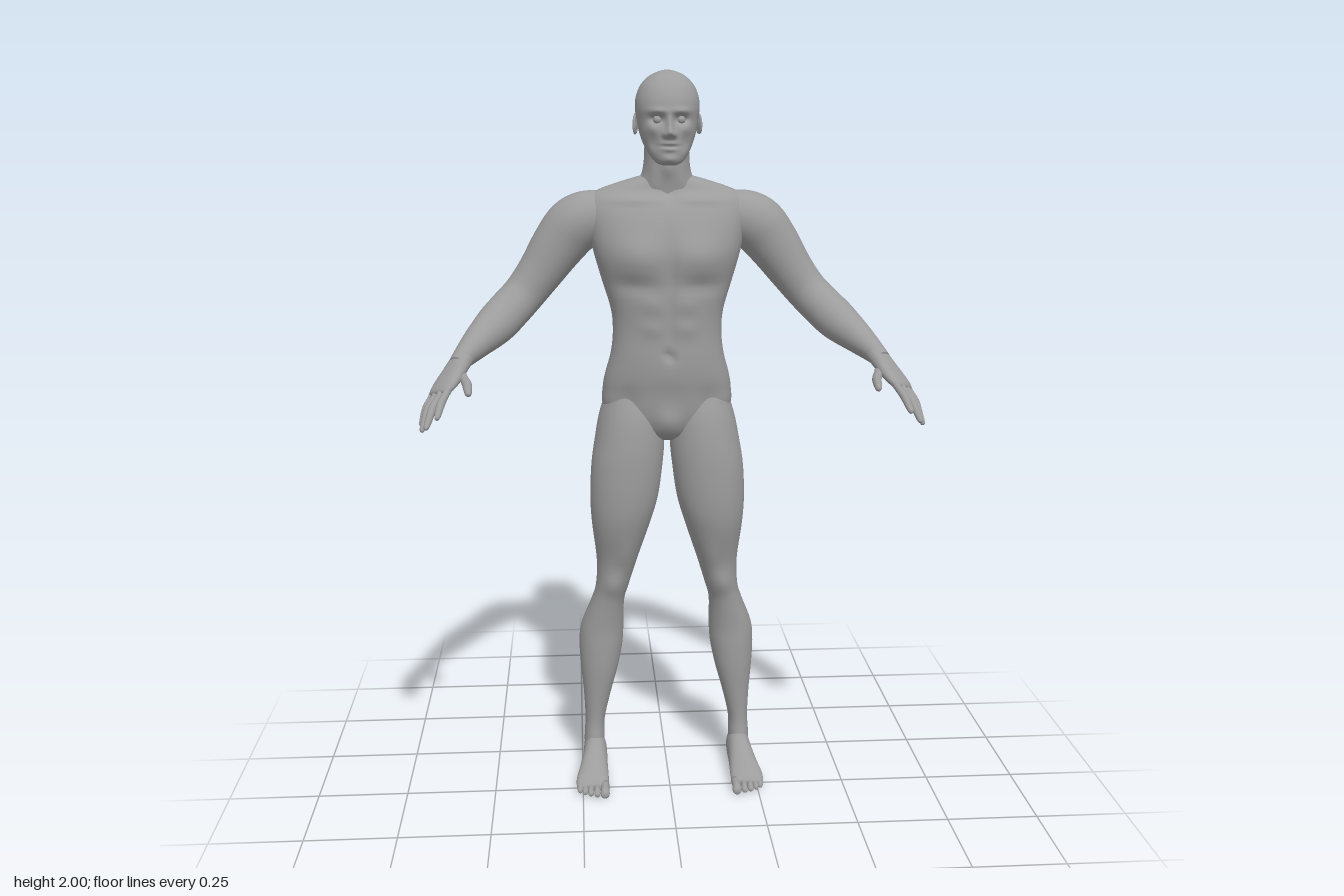
import * as THREE from 'three';

const skin = new THREE.MeshStandardMaterial({ color: 0x9c9c9c });
skin.name = 'grey skin';

const X = new THREE.Vector3(1, 0, 0), Y = new THREE.Vector3(0, 1, 0), Z = new THREE.Vector3(0, 0, 1);

// Catmull-Rom interpolation of whole rows of numbers
function rowAt(rows, u) {
  const i = Math.min(Math.floor(u), rows.length - 2), t = u - i;
  const r = k => rows[Math.max(0, Math.min(rows.length - 1, k))];
  const [p, q, s, w] = [r(i - 1), r(i), r(i + 1), r(i + 2)];
  return q.map((_, k) => q[k] + 0.5 * t * (s[k] - p[k]
    + t * (2 * p[k] - 5 * q[k] + 4 * s[k] - w[k] + t * (3 * (q[k] - s[k]) + w[k] - p[k]))));
}

// Closed smooth skin over rows [x, y, z, radius along hint, other radius]; a fixed axis keeps the rings parallel
function loft(rows, { hint = X, axis = null, segs = 32, steps = 5, square = 2, sculpt = null } = {}) {
  const pos = [], idx = [], n = (rows.length - 1) * steps;
  const centre = u => new THREE.Vector3(...rowAt(rows, u).slice(0, 3));
  const put = v => { if (sculpt) sculpt(v); pos.push(v.x, v.y, v.z); };
  const pw = c => Math.sign(c) * Math.abs(c) ** (2 / square);
  for (let i = 0; i <= n; i++) {
    const u = i / steps, [, , , a, b] = rowAt(rows, u), c = centre(u);
    const T = axis ? axis.clone()
      : centre(Math.min(u + 0.05, rows.length - 1)).sub(centre(Math.max(u - 0.05, 0))).normalize();
    const U = hint.clone().addScaledVector(T, -hint.dot(T)).normalize();
    const V = T.clone().cross(U);
    for (let j = 0; j < segs; j++) {
      const t = j / segs * Math.PI * 2;
      put(c.clone().addScaledVector(U, pw(Math.cos(t)) * a).addScaledVector(V, pw(Math.sin(t)) * b));
    }
  }
  put(centre(0));
  put(centre(rows.length - 1));
  const first = (n + 1) * segs, last = first + 1;
  for (let j = 0; j < segs; j++) {
    const k = (j + 1) % segs;
    for (let i = 0; i < n; i++) {
      const a = i * segs + j, b = i * segs + k;
      idx.push(a, b, a + segs, b, b + segs, a + segs);
    }
    idx.push(first, k, j, last, n * segs + j, n * segs + k);
  }
  const g = new THREE.BufferGeometry();
  g.setAttribute('position', new THREE.Float32BufferAttribute(pos, 3));
  g.setIndex(idx);
  g.computeVertexNormals();
  return g;
}

// Horizontal rings [y, x inner, x outer, z front, z back]
const flat = rows => rows.map(([y, x0, x1, f, b]) => [(x0 + x1) / 2, y, (f + b) / 2, (x1 - x0) / 2, (f - b) / 2]);
const even = rows => flat(rows.map(([y, w, f, b]) => [y, -w, w, f, b]));

// Soft push in z around (+-x, y); back side when side is -1
function sculptor(bumps, midZ) {
  return v => {
    const side = v.z > midZ ? 1 : -1, ax = Math.abs(v.x);
    let dz = 0;
    for (const [s, x, y, rx, ry, d] of bumps)
      if (s === side) dz += d * Math.exp(-(((ax - x) / rx) ** 2) - ((v.y - y) / ry) ** 2);
    v.z += dz * Math.min(1, Math.abs(v.z - midZ) / 0.05);
  };
}

function mirrored(g) {
  const m = g.clone().scale(-1, 1, 1), a = m.index.array;
  for (let i = 0; i < a.length; i += 3) [a[i], a[i + 1]] = [a[i + 1], a[i]];
  m.computeVertexNormals();
  return m;
}

export function createModel() {
  const model = new THREE.Group();
  model.name = 'standing man';
  const add = (name, g) => {
    const m = new THREE.Mesh(g, skin);
    m.name = name;
    model.add(m);
  };
  const pair = (name, g) => { add('left ' + name, g); add('right ' + name, mirrored(g)); };

  // Torso: chest, belly, back and pelvis
  add('torso', loft(even([
    [1.005, 0.03, -0.09, -0.16], [1.025, 0.08, -0.06, -0.21], [1.06, 0.14, -0.045, -0.238],
    [1.1, 0.178, -0.036, -0.248], [1.15, 0.178, -0.03, -0.242], [1.19, 0.171, -0.025, -0.23],
    [1.25, 0.155, -0.02, -0.217], [1.31, 0.149, -0.02, -0.216], [1.37, 0.154, -0.017, -0.226],
    [1.45, 0.178, -0.014, -0.243], [1.52, 0.198, -0.01, -0.252], [1.58, 0.212, -0.022, -0.255],
    [1.63, 0.22, -0.042, -0.247], [1.665, 0.215, -0.065, -0.234], [1.69, 0.18, -0.085, -0.218],
    [1.715, 0.105, -0.095, -0.205], [1.73, 0.05, -0.11, -0.185]]), {
    axis: Y, segs: 96, square: 2.35,
    sculpt: sculptor([
      [1, 0.085, 1.515, 0.065, 0.055, 0.014], [1, 0.09, 1.44, 0.06, 0.018, -0.009],   // chest muscles
      [1, 0, 1.5, 0.012, 0.1, -0.009], [1, 0, 1.33, 0.01, 0.09, -0.005],              // midline
      [1, 0.045, 1.39, 0.03, 0.022, 0.005], [1, 0.045, 1.325, 0.03, 0.022, 0.005],    // stomach muscles
      [1, 0, 1.252, 0.011, 0.012, -0.014], [1, 0, 1.2, 0.08, 0.05, 0.005],            // navel, lower belly
      [1, 0, 1.06, 0.035, 0.04, 0.014], [1, 0.11, 1.12, 0.03, 0.04, -0.007],          // groin
      [1, 0.09, 1.665, 0.07, 0.011, 0.007], [1, 0, 1.68, 0.016, 0.02, -0.01],         // collarbones
      [-1, 0, 1.45, 0.022, 0.24, 0.022], [-1, 0, 1.08, 0.016, 0.085, 0.05],           // spine, cleft
      [-1, 0.1, 1.57, 0.055, 0.075, -0.011], [-1, 0.055, 1.28, 0.035, 0.09, -0.007],  // back muscles
      [-1, 0.085, 1.1, 0.055, 0.055, -0.01]], -0.13),
  }));

  add('neck', loft(even([
    [1.66, 0.11, -0.09, -0.225], [1.695, 0.09, -0.085, -0.213], [1.725, 0.07, -0.08, -0.203],
    [1.76, 0.062, -0.075, -0.195], [1.8, 0.06, -0.07, -0.19], [1.84, 0.058, -0.075, -0.185]]), {
    axis: Y, segs: 48,
    sculpt: sculptor([[1, 0, 1.745, 0.014, 0.02, 0.006], [1, 0.04, 1.72, 0.014, 0.05, 0.006]], -0.14),
  }));

  // Head with brow, nose, eye sockets, lips and chin
  add('head', loft(even([
    [1.757, 0.018, -0.02, -0.06], [1.765, 0.036, -0.01, -0.085], [1.785, 0.052, -0.006, -0.125],
    [1.81, 0.065, -0.007, -0.165], [1.84, 0.075, -0.008, -0.19], [1.87, 0.081, -0.012, -0.201],
    [1.9, 0.085, -0.01, -0.207], [1.93, 0.083, -0.017, -0.204], [1.96, 0.071, -0.034, -0.189],
    [1.983, 0.049, -0.06, -0.164], [1.995, 0.025, -0.085, -0.137], [2, 0.004, -0.107, -0.115]]), {
    axis: Y, segs: 128, steps: 8, square: 2.15,
    sculpt: sculptor([
      [1, 0, 1.84, 0.011, 0.013, 0.024], [1, 0, 1.862, 0.008, 0.022, 0.014],          // nose
      [1, 0.012, 1.835, 0.007, 0.008, 0.01],                                          // nostrils
      [1, 0.032, 1.874, 0.017, 0.011, -0.016], [1, 0.03, 1.895, 0.026, 0.008, 0.006], // sockets, brow
      [1, 0.046, 1.85, 0.015, 0.014, 0.005], [1, 0.042, 1.815, 0.014, 0.02, -0.006],  // cheeks
      [1, 0, 1.813, 0.02, 0.006, 0.006], [1, 0, 1.798, 0.018, 0.006, 0.006],          // lips
      [1, 0, 1.806, 0.022, 0.003, -0.005], [1, 0, 1.773, 0.018, 0.01, 0.006]], -0.1), // mouth, chin
  }));
  pair('eye', new THREE.SphereGeometry(0.011, 20, 14).translate(0.031, 1.873, -0.03));

  // Ears: a rim around a shallow bowl
  const ear = g => g.scale(0.7, 1.5, 1).rotateX(-0.2).rotateY(0.35).translate(0.084, 1.862, -0.113);
  pair('ear rim', ear(new THREE.TorusGeometry(0.014, 0.005, 10, 28).rotateY(Math.PI / 2)));
  pair('ear bowl', ear(new THREE.SphereGeometry(0.014, 18, 12).scale(0.5, 1, 1)));

  // Legs, from inside the hip to the ankle
  pair('leg', loft(flat([
    [1.17, 0.04, 0.155, -0.07, -0.21], [1.08, 0.012, 0.187, -0.036, -0.25], [1, 0.008, 0.203, -0.022, -0.236],
    [0.93, 0.014, 0.213, -0.018, -0.213], [0.84, 0.027, 0.217, -0.02, -0.207], [0.76, 0.05, 0.213, -0.032, -0.205],
    [0.65, 0.086, 0.201, -0.068, -0.196], [0.57, 0.11, 0.204, -0.083, -0.2], [0.52, 0.123, 0.218, -0.092, -0.211],
    [0.44, 0.125, 0.248, -0.1, -0.233], [0.38, 0.129, 0.254, -0.1, -0.237], [0.31, 0.143, 0.25, -0.102, -0.218],
    [0.23, 0.165, 0.243, -0.109, -0.201], [0.15, 0.183, 0.24, -0.114, -0.196], [0.1, 0.184, 0.243, -0.108, -0.199],
    [0.05, 0.186, 0.243, -0.1, -0.205], [0.02, 0.19, 0.24, -0.11, -0.2]]).reverse(), {
    axis: Y, segs: 48, square: 2.1,
    sculpt: sculptor([
      [1, 0.155, 0.585, 0.028, 0.03, 0.008], [1, 0.115, 0.67, 0.025, 0.05, 0.007],    // kneecap, inner thigh
      [-1, 0.16, 0.56, 0.02, 0.05, 0.008], [-1, 0.192, 0.4, 0.01, 0.07, 0.007]], -0.15), // knee hollow, calf
  }));

  // Feet with flat soles, and toes
  const sole = v => { v.y = Math.max(v.y, 0); };
  pair('foot', loft([
    [0.214, 0.03, -0.216, 0.012, 0.016], [0.214, 0.036, -0.205, 0.026, 0.034], [0.213, 0.045, -0.175, 0.032, 0.05],
    [0.212, 0.05, -0.13, 0.034, 0.057], [0.214, 0.046, -0.09, 0.036, 0.05], [0.218, 0.035, -0.045, 0.041, 0.036],
    [0.222, 0.025, -0.005, 0.046, 0.025], [0.223, 0.018, 0.02, 0.045, 0.017], [0.223, 0.014, 0.033, 0.04, 0.008]],
  { axis: Z, sculpt: sole, square: 2.2 }));
  [[0.188, 0.072, 0.013], [0.21, 0.069, 0.009], [0.228, 0.063, 0.0085], [0.244, 0.054, 0.008], [0.258, 0.043, 0.008]]
    .forEach(([x, z, r], i) => pair('toe ' + (i + 1), loft([
      [x, 0.018, z - 0.055, r, r], [x, 0.016, z - 0.025, r * 0.9, r], [x, 0.012, z - 0.01, r, r],
      [x, 0.01, z - 0.002, r * 0.75, r * 0.7], [x, 0.01, z, r * 0.15, r * 0.15]],
    { axis: Z, segs: 14, steps: 3, sculpt: sole })));

  // Arms, from inside the shoulder to the wrist
  pair('arm', loft([
    [0.12, 1.615, -0.155, 0.055, 0.055], [0.19, 1.614, -0.156, 0.073, 0.073], [0.245, 1.595, -0.156, 0.078, 0.078],
    [0.29, 1.545, -0.155, 0.071, 0.073], [0.345, 1.467, -0.15, 0.062, 0.062], [0.388, 1.412, -0.138, 0.056, 0.057],
    [0.427, 1.372, -0.112, 0.056, 0.057], [0.465, 1.336, -0.072, 0.053, 0.055], [0.51, 1.299, -0.01, 0.042, 0.042],
    [0.545, 1.268, 0.045, 0.033, 0.029], [0.56, 1.252, 0.07, 0.03, 0.024]], { hint: Z, segs: 40 }));

  // Hands: palm, four fingers and thumb
  const across = new THREE.Vector3(0.045, -0.01, -0.055).normalize();
  pair('palm', loft([
    [0.54, 1.273, 0.038, 0.028, 0.024], [0.556, 1.253, 0.07, 0.034, 0.023], [0.574, 1.228, 0.1, 0.041, 0.02],
    [0.59, 1.208, 0.128, 0.042, 0.016], [0.6, 1.196, 0.145, 0.037, 0.012], [0.603, 1.192, 0.15, 0.028, 0.006]],
  { hint: across, segs: 28, square: 2.3 }));
  const finger = (name, a, b, c, r) => pair(name, loft([
    [...a, r, r], [...a.map((v, i) => (v + b[i]) / 2), r * 0.92, r * 0.92], [...b, r, r],
    [...b.map((v, i) => v * 0.4 + c[i] * 0.6), r * 0.85, r * 0.85],
    [...b.map((v, i) => v * 0.07 + c[i] * 0.93), r * 0.6, r * 0.6], [...c, r * 0.1, r * 0.1]],
  { hint: across, segs: 14, steps: 4 }));
  finger('index finger', [0.576, 1.208, 0.15], [0.592, 1.18, 0.205], [0.6, 1.15, 0.257], 0.0105);
  finger('middle finger', [0.592, 1.202, 0.143], [0.615, 1.165, 0.193], [0.63, 1.12, 0.24], 0.0105);
  finger('ring finger', [0.606, 1.197, 0.13], [0.631, 1.155, 0.17], [0.644, 1.106, 0.205], 0.01);
  finger('little finger', [0.617, 1.194, 0.113], [0.638, 1.155, 0.14], [0.65, 1.113, 0.163], 0.009);
  finger('thumb', [0.551, 1.238, 0.085], [0.53, 1.217, 0.15], [0.522, 1.203, 0.215], 0.0125);

  return model;
}
